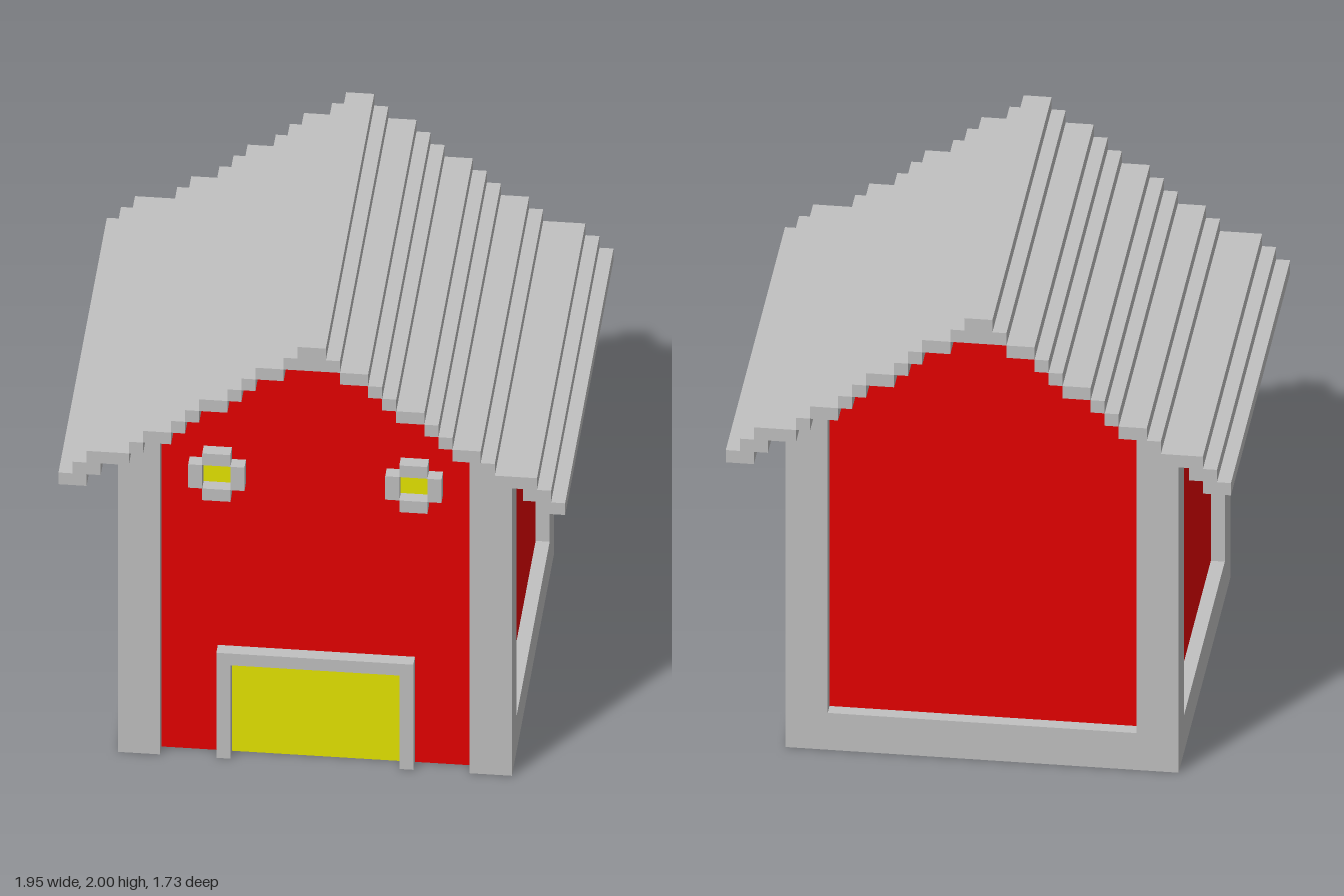
import * as THREE from 'three';

const U = 2 / 37; // one block

const grey = new THREE.MeshStandardMaterial({ color: 0xc0c0c0 });
grey.name = 'stone grey';
const red = new THREE.MeshStandardMaterial({ color: 0xe50000 });
red.name = 'barn red';
const yellow = new THREE.MeshStandardMaterial({ color: 0xe5e500 });
yellow.name = 'yellow';
const brown = new THREE.MeshStandardMaterial({ color: 0x8f3300 });
brown.name = 'floor brown';

// Roof layers from the ridge down: bottom, inner and outer half-width, in blocks
const LAYERS = [
  [36, 0, 1], [35, 0, 2], [34, 2, 4], [33, 4, 5], [32, 5, 6], [31, 6, 8], [30, 8, 9],
  [29, 9, 10], [28, 10, 12], [27, 12, 13], [26, 13, 16], [25, 15, 17], [24, 16, 18],
];

// Box given by its limits in blocks
function block(parent, name, mat, x0, x1, y0, y1, z0, z1) {
  const geo = new THREE.BoxGeometry((x1 - x0) * U, (y1 - y0) * U, (z1 - z0) * U);
  const mesh = new THREE.Mesh(geo, mat);
  mesh.position.set((x0 + x1) * U / 2, (y0 + y1) * U / 2, (z0 + z1) * U / 2);
  mesh.name = name;
  parent.add(mesh);
}

// Outline in blocks pushed along z from z0 to z1
function slab(parent, name, mat, points, z0, z1) {
  const shape = new THREE.Shape(points.map(([x, y]) => new THREE.Vector2(x * U, y * U)));
  const geo = new THREE.ExtrudeGeometry(shape, { depth: (z1 - z0) * U, bevelEnabled: false });
  const mesh = new THREE.Mesh(geo, mat);
  mesh.position.z = z0 * U;
  mesh.name = name;
  parent.add(mesh);
}

// Stepped gable outline that meets the underside of the roof
function gablePoints(bottom) {
  const right = [[13, bottom], [13, 27]];
  for (const [y, inner] of LAYERS.slice(2, 10).reverse()) right.push([inner, y], [inner, y + 1]);
  const left = right.map(([x, y]) => [-x, y]).reverse();
  return [...right, ...left];
}

export function createModel() {
  const model = new THREE.Group();
  model.name = 'barn';

  // Floor and walls, with a doorway cut in the front
  const doorway = [[-6, 0], [-6, 8], [6, 8], [6, 0]];
  block(model, 'floor', brown, -13, 13, 0, 1, -13, 12);
  slab(model, 'frontWall', red, [...gablePoints(0), ...doorway], 12, 13);
  slab(model, 'backWall', red, gablePoints(1), -13, -12);
  for (const s of [-1, 1]) {
    const x = 12.5 * s;
    block(model, 'sideWall', red, x - 0.5, x + 0.5, 1, 24, -12, 12);
  }

  // Corner posts, stepped at the top under the eaves
  const frame = new THREE.Group();
  frame.name = 'wallFrame';
  model.add(frame);
  const post = [[11, 0], [14, 0], [14, 26], [13, 26], [13, 27], [12, 27], [12, 28], [11, 28]];
  for (const sx of [-1, 1]) {
    const outline = post.map(([x, y]) => [x * sx, y]);
    const x = 13.5 * sx;
    for (const z of [13, -14]) {
      slab(frame, 'cornerPost', grey, outline, z, z + 1);
      const zs = z > 0 ? 11 : -13;
      block(frame, 'cornerPostSide', grey, x - 0.5, x + 0.5, 0, 26, zs, zs + 2);
    }
    // Side sill, and the beam under the eaves flush with the wall
    block(frame, 'sideSill', grey, x - 0.5, x + 0.5, 0, 3, -11, 11);
    block(frame, 'sideTopBeam', grey, x - sx - 0.5, x - sx + 0.5, 24, 27, -12, 12);
  }
  block(frame, 'backSill', grey, -11, 11, 0, 3, -14, -13);

  // Stepped roof
  const roof = new THREE.Group();
  roof.name = 'roof';
  model.add(roof);
  for (const [y, inner, outer] of LAYERS) {
    if (inner === 0) {
      block(roof, 'ridge', grey, -outer, outer, y, y + 1, -16, 16);
    } else {
      block(roof, 'roofStep', grey, inner, outer, y, y + 1, -16, 16);
      block(roof, 'roofStep', grey, -outer, -inner, y, y + 1, -16, 16);
    }
  }

  // Door with raised frame
  const door = new THREE.Group();
  door.name = 'door';
  model.add(door);
  block(door, 'doorPanel', yellow, -6, 6, 0, 8, 12, 13);
  block(door, 'doorJamb', grey, -7, -6, 0, 9, 13, 14);
  block(door, 'doorJamb', grey, 6, 7, 0, 9, 13, 14);
  block(door, 'doorLintel', grey, -6, 6, 8, 9, 13, 14);

  // Two small windows, each framed by four blocks
  for (const cx of [-7, 7]) {
    const win = new THREE.Group();
    win.name = 'window';
    model.add(win);
    block(win, 'windowPane', yellow, cx - 1, cx + 1, 23, 25, 12.95, 13.05);
    for (const y of [22, 25]) block(win, 'windowRail', grey, cx - 1, cx + 1, y, y + 1, 13, 14);
    for (const x of [cx - 2, cx + 1]) block(win, 'windowStile', grey, x, x + 1, 23, 25, 13, 14);
  }

  return model;
}
